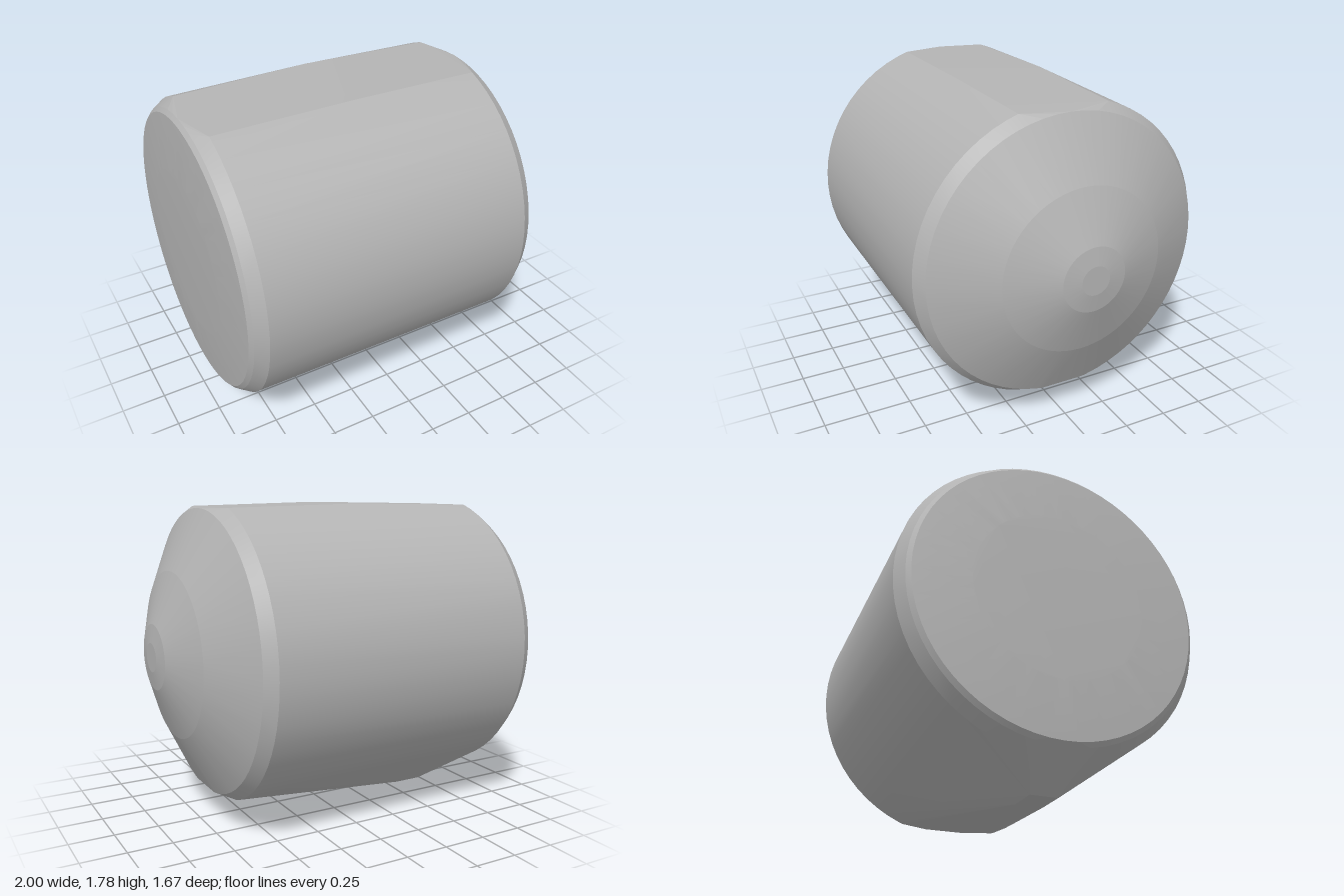
import * as THREE from 'three';
import { ConvexGeometry } from 'three/addons/geometries/ConvexGeometry.js';
import { toCreasedNormals } from 'three/addons/utils/BufferGeometryUtils.js';

const AXIS_Y = 0.97;
const FLOOR = 0.19; // lower cut of the drum, above the foot
const CEILING = 1.765; // flat on top of the drum
const SEGMENTS = 64;

// One ring around the x axis, cut level at the top and bottom
function ring(x, r) {
  const points = [];
  for (let i = 0; i < SEGMENTS; i++) {
    const a = (i / SEGMENTS) * Math.PI * 2;
    const y = AXIS_Y + r * Math.sin(a);
    if (y > FLOOR && y < CEILING) points.push(new THREE.Vector3(x, y, r * Math.cos(a)));
  }
  for (const y of [FLOOR, CEILING]) {
    const h = Math.abs(y - AXIS_Y);
    if (h >= r) continue;
    const z = Math.sqrt(r * r - h * h);
    points.push(new THREE.Vector3(x, y, z), new THREE.Vector3(x, y, -z));
  }
  return points;
}

export function createModel() {
  const group = new THREE.Group();
  const grey = new THREE.MeshStandardMaterial({ color: 0xb4b4b4 });
  grey.name = 'grey';

  // Back disc, rounded rim, drum, chamfer and domed nose: [x, radius]
  const profile = [
    [-1, 0.47], [-0.975, 0.77], [-0.955, 0.793], [-0.89, 0.835],
    [0.645, 0.835], [0.71, 0.79], [0.88, 0.46], [0.985, 0.18], [1, 0.08],
  ];
  const points = profile.flatMap(([x, r]) => ring(x, r));

  for (const side of [-1, 1]) {
    // Slight crown of the top flat
    points.push(new THREE.Vector3(-0.12, 1.78, 0.27 * side));
    // Small foot under the back end
    for (const x of [-0.74, -0.57]) points.push(new THREE.Vector3(x, 0, 0.075 * side));
  }

  const hull = new THREE.Mesh(toCreasedNormals(new ConvexGeometry(points), 0.11), grey);
  hull.name = 'drumHull';
  group.add(hull);
  return group;
}
